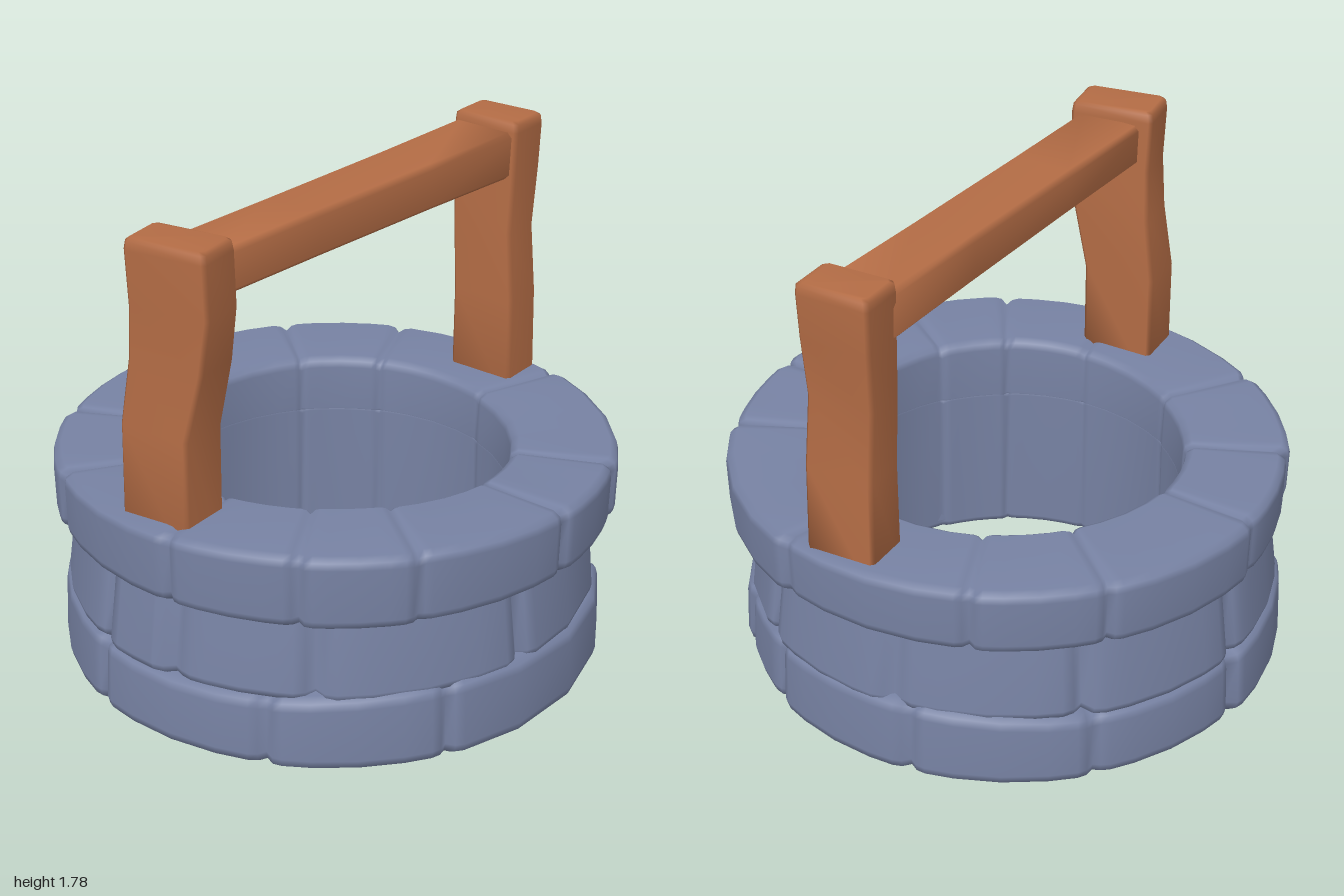
import * as THREE from 'three';

const rad = THREE.MathUtils.degToRad;

// Skin a list of equal-length point loops; either closed into a torus or capped at both ends.
function skin(loops, closed) {
  const n = loops[0].length, m = loops.length;
  const pos = loops.flat(2), index = [];
  for (let i = 0; i < (closed ? m : m - 1); i++) {
    for (let j = 0; j < n; j++) {
      const a = i * n + j, b = i * n + (j + 1) % n;
      const k = (i + 1) % m, c = k * n + j, d = k * n + (j + 1) % n;
      index.push(a, b, c, b, d, c);
    }
  }
  if (!closed) {
    for (let j = 1; j < n - 1; j++) {
      index.push(0, j + 1, j);
      const t = (m - 1) * n;
      index.push(t, t + j, t + j + 1);
    }
  }
  const geo = new THREE.BufferGeometry();
  geo.setAttribute('position', new THREE.Float32BufferAttribute(pos, 3));
  geo.setIndex(index);
  geo.computeVertexNormals();
  return geo;
}

// One course of stones: a rounded profile swept round the shaft, pinched at each joint.
function stoneCourse({ joints, profile, groove, gap, cx, seed, lift = () => 0 }) {
  const loops = [];
  const midRadius = 0.8;
  const midY = profile.reduce((s, p) => s + p[1], 0) / profile.length;
  joints.forEach((start, s) => {
    const a0 = rad(start);
    let a1 = rad(joints[(s + 1) % joints.length]);
    if (a1 < a0) a1 += Math.PI * 2;
    const bulge = 0.008 * Math.sin(s * 2.4 + seed);
    const stations = [[a0, 1], [a0 + gap, 0.25], [a0 + gap * 2.2, 0]];
    for (let k = 1; k < 4; k++) stations.push([a0 + (a1 - a0) * k / 4, 0]);
    stations.push([a1 - gap * 2.2, 0], [a1 - gap, 0.25]);
    for (const [a, pinch] of stations) {
      loops.push(profile.map(([r, y]) => {
        const rr = r > midRadius ? r + bulge - groove * pinch : r - bulge * 0.6 + groove * pinch * 0.4;
        const yy = y > midY ? y + lift(a) - groove * 0.5 * pinch : y;
        return [cx + rr * Math.cos(a), yy, rr * Math.sin(a)];
      }));
    }
  });
  return skin(loops, true);
}

// Closed profile with bevelled corners: inner and outer radius at the bottom and top.
function bevelled(rib, rit, rob, rot, y0, y1, b) {
  return [
    [rob - b, y0], [rob - b * 0.2, y0 + b * 0.5], [rob, y0 + b * 1.3],
    [rot, y1 - b * 1.3], [rot - b * 0.2, y1 - b * 0.5], [rot - b, y1],
    [rit + b, y1], [rit + b * 0.2, y1 - b * 0.5], [rit, y1 - b * 1.3],
    [rib, y0 + b * 1.3], [rib + b * 0.3, y0 + b * 0.5], [rib + b, y0],
  ];
}

// Hewn timber along y; sections are [x, y, z, halfWidth, halfDepth, turn].
function timber(sections, c) {
  return skin(sections.map(([x, y, z, w, d, turn]) => {
    const co = Math.cos(turn), si = Math.sin(turn);
    const corners = [[w, c - d], [w, d - c], [w - c, d], [c - w, d],
      [-w, d - c], [-w, c - d], [c - w, -d], [w - c, -d]];
    return corners.reverse().map(([u, v]) => [x + u * co + v * si, y, z - u * si + v * co]);
  }), false);
}

export function createModel() {
  const stone = new THREE.MeshStandardMaterial({ color: 0x7782a3 });
  stone.name = 'blue grey stone';
  const wood = new THREE.MeshStandardMaterial({ color: 0xb36c45 });
  wood.name = 'brown wood';
  const well = new THREE.Group();
  well.name = 'well';
  const add = (name, geo, mat) => {
    const mesh = new THREE.Mesh(geo, mat);
    mesh.name = name;
    well.add(mesh);
  };

  // Stone courses
  add('bottomCourse', stoneCourse({
    joints: [31, 68, 110, 150, 190, 226, 264, 300, 322],
    profile: bevelled(0.65, 0.67, 0.972, 0.965, 0, 0.275, 0.035),
    groove: 0.03, gap: 0.028, cx: -0.025, seed: 1,
    lift: (a) => 0.015 * Math.sin(3 * a),
  }), stone);
  add('middleCourse', stoneCourse({
    joints: [12, 58, 89, 109, 152, 190, 228, 268, 304],
    profile: bevelled(0.68, 0.68, 0.955, 0.92, 0.25, 0.6, 0.03),
    groove: 0.04, gap: 0.035, cx: -0.025, seed: 3,
  }), stone);
  const rimJoints = [4, 39, 62, 89, 127, 157.5, 186, 223, 250, 291.5, 338];
  add('rimCourse', stoneCourse({
    joints: rimJoints,
    profile: bevelled(0.62, 0.625, 0.99, 0.994, 0.558, 0.8, 0.03),
    groove: 0.026, gap: 0.022, cx: -0.005, seed: 5,
    lift: (a) => 0.012 * Math.cos(a - 1) + 0.014 * Math.sin(2 * a - 0.4),
  }), stone);

  // Smooth shaft lining that carries the rim joints down to the ground
  add('shaftLining', stoneCourse({
    joints: rimJoints,
    profile: bevelled(0.625, 0.62, 0.72, 0.72, 0.002, 0.62, 0.025),
    groove: 0.026, gap: 0.022, cx: -0.005, seed: 5,
  }), stone);

  // Posts
  add('frontPost', timber([
    [-0.085, 0.7, 0.82, 0.137, 0.1, 0],
    [-0.09, 1.12, 0.81, 0.138, 0.097, 0],
    [-0.05, 1.36, 0.8, 0.146, 0.092, 0.05],
    [-0.03, 1.55, 0.805, 0.152, 0.092, 0.1],
    [-0.035, 1.74, 0.81, 0.154, 0.092, 0.1],
    [-0.035, 1.77, 0.81, 0.15, 0.088, 0.1],
    [-0.035, 1.78, 0.81, 0.138, 0.077, 0.1],
  ], 0.014), wood);
  add('backPost', timber([
    [0.13, 0.7, -0.84, 0.13, 0.092, -0.03],
    [0.13, 1.1, -0.837, 0.129, 0.085, -0.03],
    [0.118, 1.36, -0.83, 0.125, 0.082, -0.03],
    [0.114, 1.58, -0.85, 0.132, 0.088, -0.03],
    [0.114, 1.74, -0.855, 0.136, 0.09, -0.03],
    [0.114, 1.77, -0.855, 0.133, 0.087, -0.03],
    [0.114, 1.78, -0.855, 0.12, 0.075, -0.03],
  ], 0.014), wood);

  // Crossbeam, laid from post to post with a slight twist
  const beam = timber([
    [0, -0.76, 0, 0.125, 0.088, -0.03],
    [0, -0.3, 0, 0.122, 0.083, 0],
    [0, 0.3, 0, 0.12, 0.08, 0.02],
    [0, 0.76, 0, 0.122, 0.078, 0.03],
  ], 0.018);
  beam.rotateX(Math.PI / 2).rotateY(-0.087).translate(0.035, 1.655, -0.03);
  add('crossbeam', beam, wood);

  return well;
}
